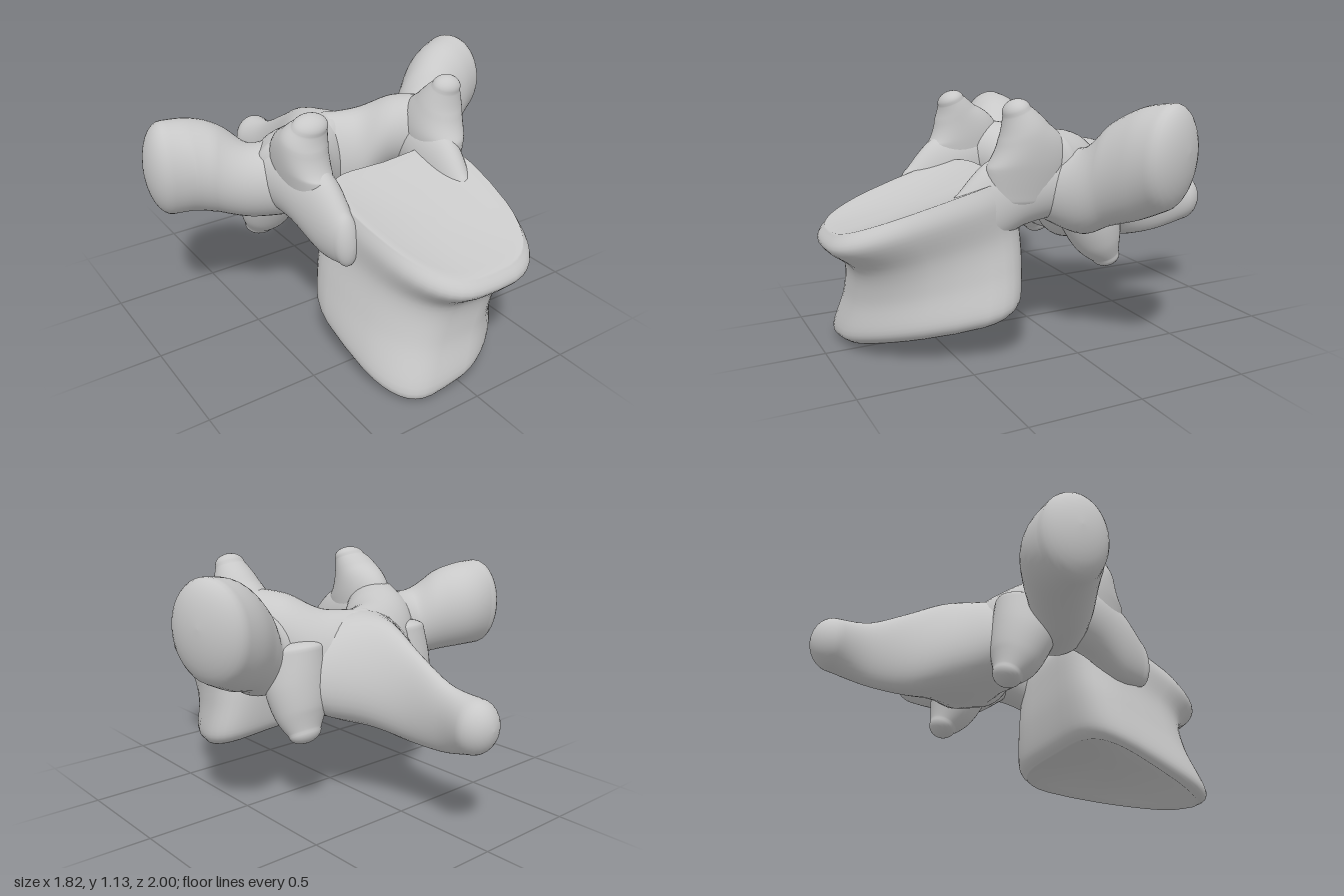
import * as THREE from 'three';

const SIDES = 40;
const V3 = (x, y, z) => new THREE.Vector3(x, y, z);
const UP = V3(0, 1, 0), ACROSS = V3(1, 0, 0);

// Smooth blend through rows of numbers, t from 0 to 1
function blend(rows, t) {
  const n = rows.length - 1, s = Math.min(Math.max(t, 0), 1) * n;
  const i = Math.min(Math.floor(s), n - 1), f = s - i;
  const row = k => rows[Math.min(Math.max(k, 0), n)];
  return rows[0].map((_, c) => {
    const [a, b, d, e] = [row(i - 1)[c], row(i)[c], row(i + 1)[c], row(i + 2)[c]];
    return b + 0.5 * f * (d - a + f * (2 * a - 5 * b + 4 * d - e + f * (3 * (b - d) + e - a)));
  });
}

// Closed rings of points joined into one smooth skin
function skin(rings) {
  const pos = [], index = [];
  rings.forEach(r => r.forEach(p => pos.push(p.x, p.y, p.z)));
  for (let i = 0; i < rings.length - 1; i++) {
    for (let j = 0; j < SIDES; j++) {
      const a = i * SIDES + j, b = i * SIDES + (j + 1) % SIDES;
      index.push(a, b, a + SIDES, b, b + SIDES, a + SIDES);
    }
  }
  const g = new THREE.BufferGeometry();
  g.setAttribute('position', new THREE.Float32BufferAttribute(pos, 3));
  g.setIndex(index);
  g.computeVertexNormals();
  return g;
}

// Oval limb: rows are x, y, z, radius along 'up', radius sideways, and for
// the spine a pinch that narrows the upper side; both ends are domed
function limb(rows, cap, up = UP) {
  const rings = [];
  const ring = (t, push, scale) => {
    const [x, y, z, h, w, pinch = 0] = blend(rows, t);
    const p = blend(rows, t - 0.01), q = blend(rows, t + 0.01);
    const T = V3(q[0] - p[0], q[1] - p[1], q[2] - p[2]).normalize();
    const side = V3(0, 0, 0).crossVectors(up, T).normalize();
    const c = V3(x, y, z).addScaledVector(T, push);
    rings.push(Array.from({ length: SIDES }, (_, j) => {
      const a = j / SIDES * Math.PI * 2, sin = Math.sin(a);
      return c.clone().addScaledVector(side, Math.cos(a) * w * scale * (1 - pinch * sin))
        .addScaledVector(up, sin * h * scale);
    }));
  };
  const dome = (t, i) => {
    const a = i / 8 * Math.PI / 2;
    ring(t, cap * Math.sin(a), Math.cos(a));
  };
  for (let i = -8; i < 0; i++) dome(0, i);
  for (let i = 0; i <= 24; i++) ring(i / 24, 0, 1);
  for (let i = 1; i <= 8; i++) dome(1, i);
  return skin(rings);
}

// Wedge-shaped body: rows are back centre x, back half width, front centre x,
// front half width, back z, front z, back y, front y, sideways tilt, dish, end hollow
function bodyGeometry() {
  const rows = [
    [0.06, 0.41, -0.09, 0.21, 0.19, 0.88, 0.25, 0.04, 0.14, -0.1, 0.08],
    [0.06, 0.44, -0.09, 0.25, 0.15, 0.92, 0.30, 0.09, 0.14, -0.05, 0],
    [0.05, 0.41, -0.02, 0.24, 0.13, 0.88, 0.45, 0.26, 0.06, 0, 0],
    [0.05, 0.38, 0.04, 0.25, 0.13, 0.89, 0.60, 0.42, 0, 0, 0],
    [0.06, 0.38, 0.07, 0.28, 0.14, 1.00, 0.73, 0.52, 0, 0.15, 0],
    [0.06, 0.36, 0.07, 0.25, 0.17, 0.97, 0.79, 0.59, 0, 0.3, -0.02],
  ];
  const rings = [];
  const pow = v => Math.sign(v) * Math.abs(v) ** 0.6;
  const ring = (t, s) => {
    const [cb, rb, cf, rf, zb, zf, yb, yf, tilt, dish, hollow] = blend(rows, t);
    rings.push(Array.from({ length: SIDES }, (_, j) => {
      const a = j / SIDES * Math.PI * 2;
      const u = pow(Math.cos(a)) * s, f = (1 - pow(Math.sin(a)) * s) / 2;
      const x = cb + (cf - cb) * f * f + u * (rb + (rf - rb) * f * f);
      const z = zb + (zf - zb) * f + 0.06 * (1 - u * u) * (1 - f);
      const y = yb + (yf - yb) * f + tilt * x * f + dish * x * x + hollow * (1 - s * s);
      return V3(x, y, z);
    }));
  };
  for (let i = 0; i < 8; i++) ring(0, i / 8);
  for (let i = 0; i <= 30; i++) ring(i / 30, 1);
  for (let i = 7; i >= 0; i--) ring(1, i / 8);
  return skin(rings);
}

export function createModel() {
  const group = new THREE.Group();
  const bone = new THREE.MeshStandardMaterial({ color: 0xc8c8c8 });
  bone.name = 'bone grey';
  const add = (name, geometry) => {
    const mesh = new THREE.Mesh(geometry, bone);
    mesh.name = name;
    group.add(mesh);
  };

  add('vertebralBody', bodyGeometry());

  // Rear spine, wide at the root and knobbed at the tip
  add('rearSpine', limb([
    [0, 0.66, -0.15, 0.23, 0.36, 0.15],
    [0, 0.65, -0.25, 0.245, 0.32, 0.25],
    [0, 0.63, -0.40, 0.235, 0.18, 0.35],
    [0, 0.57, -0.57, 0.20, 0.09, 0.2],
    [0, 0.525, -0.75, 0.15, 0.07, 0],
    [0, 0.53, -0.90, 0.12, 0.105, 0],
  ], 0.1));

  for (const [side, s, lift] of [['left', 1, 0.04], ['right', -1, 0]]) {
    // Arch plate and the stalk joining it to the body
    add(side + 'Lamina', limb([
      [s * -0.04, 0.67, -0.20, 0.23, 0.12],
      [s * 0.15, 0.68, -0.13, 0.23, 0.17],
      [s * 0.28, 0.76 + lift, -0.03, 0.18, 0.17],
      [s * 0.37, 0.80 + lift, 0.09, 0.16, 0.14],
    ], 0.06));
    add(side + 'Pedicle', limb([
      [s * 0.32, 0.63, 0.48, 0.12, 0.06],
      [s * 0.33, 0.69, 0.36, 0.18, 0.09],
      [s * 0.345, 0.76, 0.20, 0.17, 0.115],
      [s * 0.36, 0.78, 0.05, 0.16, 0.13],
    ], 0.06));
    // Lower joint plate, flowing out of the lamina
    add(side + 'LowerJointPlate', limb([
      [s * 0.31, 0.74, -0.11, 0.14, 0.16],
      [s * 0.32, 0.60, -0.15, 0.15, 0.14],
      [s * 0.33, 0.48, -0.19, 0.125, 0.11],
      [s * 0.34, 0.40, -0.23, 0.08, 0.065],
    ], 0.05, ACROSS));
  }

  // Upper joint horns, slightly uneven
  add('leftUpperJointHorn', limb([
    [0.36, 0.72, 0.18, 0.10, 0.19],
    [0.37, 0.88, 0.18, 0.12, 0.19],
    [0.385, 1.00, 0.21, 0.105, 0.115],
    [0.39, 1.09, 0.245, 0.07, 0.06],
  ], 0.05, ACROSS));
  add('rightUpperJointHorn', limb([
    [-0.34, 0.72, 0.18, 0.09, 0.19],
    [-0.35, 0.88, 0.18, 0.11, 0.19],
    [-0.355, 1.00, 0.22, 0.105, 0.105],
    [-0.34, 1.06, 0.245, 0.08, 0.065],
  ], 0.05, ACROSS));

  // Side wings with swollen, blunt ends
  add('leftSideWing', limb([
    [0.32, 0.75, -0.01, 0.18, 0.18],
    [0.47, 0.74, -0.05, 0.19, 0.15],
    [0.57, 0.82, -0.11, 0.22, 0.155],
    [0.69, 0.88, -0.18, 0.235, 0.175],
    [0.80, 0.92, -0.23, 0.22, 0.175],
  ], 0.10));
  add('rightSideWing', limb([
    [-0.32, 0.74, 0, 0.18, 0.18],
    [-0.48, 0.74, -0.04, 0.17, 0.15],
    [-0.60, 0.80, -0.11, 0.20, 0.17],
    [-0.70, 0.825, -0.16, 0.21, 0.18],
    [-0.81, 0.83, -0.18, 0.215, 0.155],
  ], 0.10));

  return group;
}
